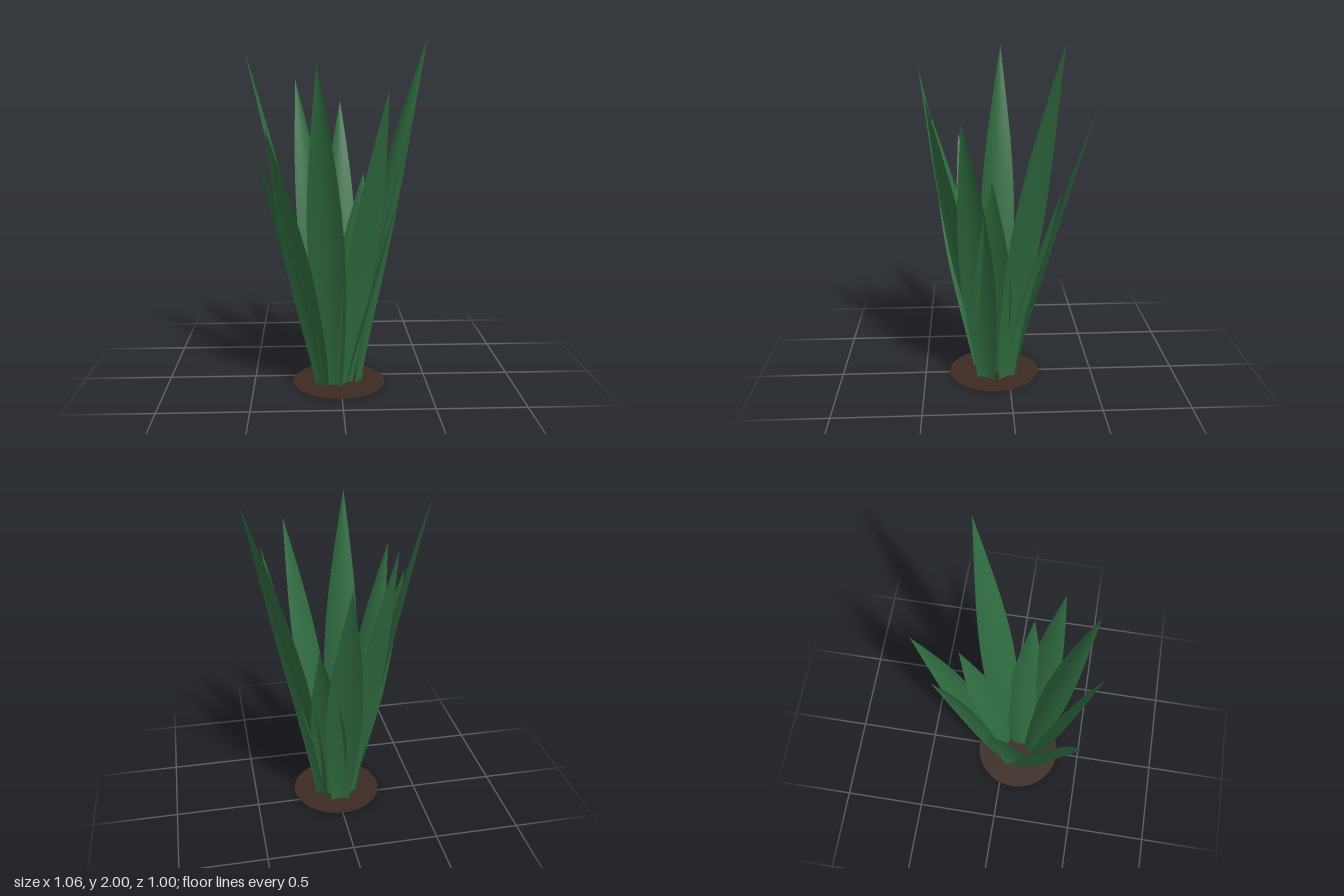
import * as THREE from 'three';

const CENTER_X = -0.02, CENTER_Z = 0.085;

// one leaf per row: tip x, tip height, tip z, base radius, outward bend
const LEAVES = [
  [0.37, 1.28, 0.105, 0.05, 1.15],
  [-0.40, 1.50, 0.445, 0.11, 1.25],
  [0.02, 1.61, -0.50, 0.125, 1.3],
  [0.235, 1.70, 0.45, 0.065, 1.2],
  [-0.53, 1.91, 0.02, 0.105, 1.4],
  [0.53, 2.00, -0.25, 0.125, 1.4],
  [-0.135, 1.83, 0.50, 0.08, 1.1],
  [-0.255, 1.74, -0.325, 0.09, 1.25],
  [0.39, 1.60, 0.26, 0.12, 1.25],
  [-0.465, 1.39, 0.285, 0.085, 1.25],
  [0.155, 1.18, -0.295, 0.08, 1.25],
];

// half width of a leaf from base to tip
const widthCurve = new THREE.SplineCurve([
  [0, 0.055], [0.2, 0.087], [0.4, 0.104], [0.55, 0.098], [0.7, 0.075], [0.85, 0.04], [1, 0],
].map(([t, w]) => new THREE.Vector2(t, w)));

function leafGeometry([tipX, height, tipZ, baseRadius, bend]) {
  const across = 8, along = 28;
  const geo = new THREE.PlaneGeometry(2, 1, across, along);
  const dx = tipX - CENTER_X, dz = tipZ - CENTER_Z;
  const reach = Math.hypot(dx, dz);
  const ux = dx / reach, uz = dz / reach;
  const pos = geo.attributes.position;
  for (let i = 0; i < pos.count; i++) {
    const s = pos.getX(i);
    const p = widthCurve.getPoint(THREE.MathUtils.clamp(pos.getY(i) + 0.5, 0, 1));
    const t = p.x, w = Math.max(0, p.y);
    // spine leans outward, margins roll slightly away from the middle
    const r = baseRadius + (reach - baseRadius) * Math.pow(Math.max(0, t), bend) + 0.22 * w * s * s;
    pos.setXYZ(i, CENTER_X + ux * r + uz * w * s, height * t, CENTER_Z + uz * r - ux * w * s);
  }
  geo.computeVertexNormals();
  return geo;
}

export function createModel() {
  const group = new THREE.Group();
  group.name = 'plant';

  const leafGreen = new THREE.MeshStandardMaterial({ color: 0x2f6b40, side: THREE.DoubleSide });
  leafGreen.name = 'leaf green';
  const soilBrown = new THREE.MeshStandardMaterial({ color: 0x3b2a22 });
  soilBrown.name = 'soil brown';

  // flat round patch of soil
  const soil = new THREE.Mesh(new THREE.CylinderGeometry(0.268, 0.268, 0.004, 48), soilBrown);
  soil.name = 'soil';
  soil.position.set(CENTER_X + 0.01, 0.002, CENTER_Z + 0.003);
  group.add(soil);

  // spiral of upright pointed leaves
  LEAVES.forEach((row, i) => {
    const leaf = new THREE.Mesh(leafGeometry(row), leafGreen);
    leaf.name = `leaf${i + 1}`;
    group.add(leaf);
  });

  return group;
}
